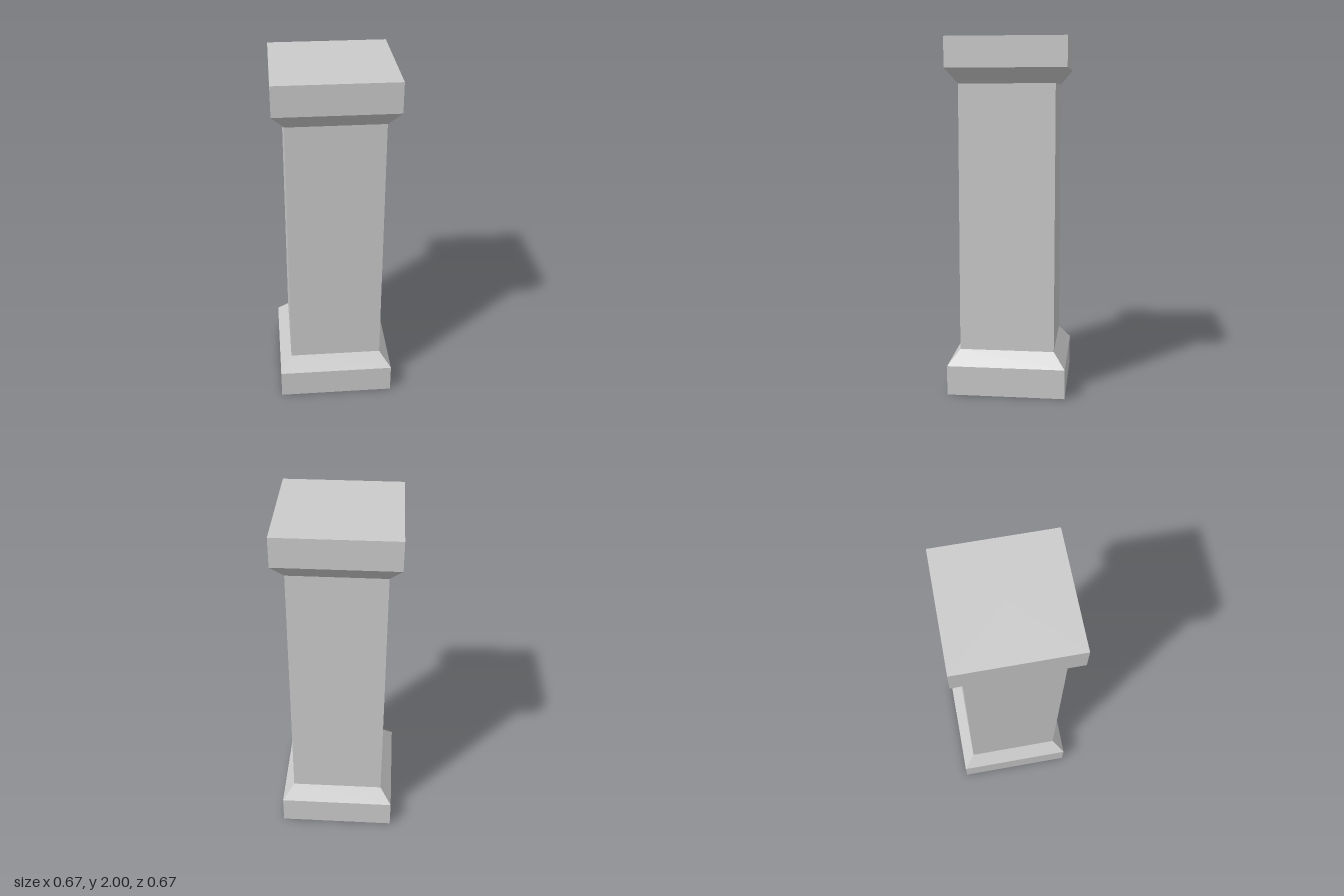
import * as THREE from 'three';

const WIDE = 0.333; // half width of plinth and capital
const SLIM = 0.267; // half width of shaft

export function createModel() {
  const pillar = new THREE.Group();
  pillar.name = 'squarePillar';
  const stone = new THREE.MeshStandardMaterial({ color: 0xcccccc, flatShading: true });

  // Square section swept up a profile of [half width, height] points
  const addSection = (name, profile) => {
    const points = profile.map(([half, y]) => new THREE.Vector2(half * Math.SQRT2, y));
    const mesh = new THREE.Mesh(new THREE.LatheGeometry(points, 4, Math.PI / 4), stone);
    mesh.name = name;
    pillar.add(mesh);
  };

  // Base block, closed underneath, with its sloped moulding
  addSection('plinth', [[0, 0], [WIDE, 0], [WIDE, 0.167]]);
  addSection('baseMoulding', [[WIDE, 0.167], [SLIM, 0.25]]);

  // Straight shaft
  addSection('shaft', [[SLIM, 0.25], [SLIM, 1.75]]);

  // Flared moulding and top block, closed on top
  addSection('capitalMoulding', [[SLIM, 1.75], [WIDE, 1.833]]);
  addSection('capital', [[WIDE, 1.833], [WIDE, 2], [0, 2]]);

  return pillar;
}
